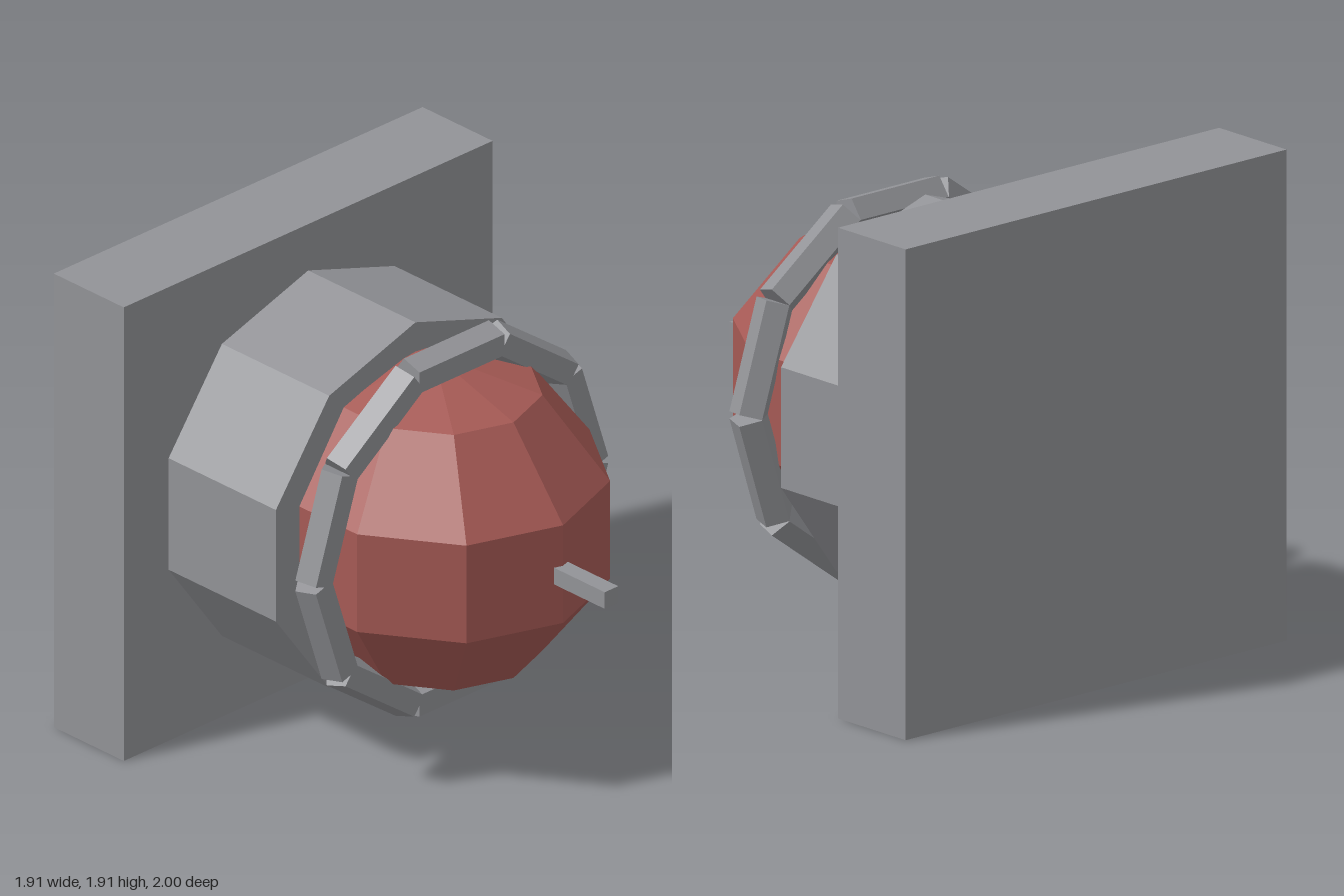
import * as THREE from 'three';

export function createModel() {
  const model = new THREE.Group();
  const grey = new THREE.MeshStandardMaterial({ color: 0x929397, flatShading: true });
  grey.name = 'metalGrey';
  const red = new THREE.MeshStandardMaterial({ color: 0xa65a55, flatShading: true });
  red.name = 'lensRed';

  const CY = 0.955; // height of the lamp axis
  const add = (parent, name, geometry, material, x, y, z) => {
    const mesh = new THREE.Mesh(geometry, material);
    mesh.name = name;
    mesh.position.set(x, y, z);
    parent.add(mesh);
    return mesh;
  };

  // Square wall plate
  add(model, 'backPlate', new THREE.BoxGeometry(1.91, 1.91, 0.375), grey, 0, CY, -0.8125);

  // Ten-sided housing drum, a corner at the top
  const drum = new THREE.CylinderGeometry(0.76, 0.76, 0.575, 10).rotateX(Math.PI / 2);
  add(model, 'housing', drum, grey, 0, CY, -0.3375);

  // Faceted ball, a corner facing forward, stretched slightly in depth
  const ball = new THREE.SphereGeometry(0.665, 10, 5).rotateY(Math.PI / 10).scale(1, 1, 1.1);
  add(model, 'ball', ball, red, 0, CY, 0.045);

  // Ring of ten five-sided bars with open outer joints
  const ring = new THREE.Group();
  ring.name = 'ring';
  ring.position.set(0, CY, 0.139);
  const bar = new THREE.CylinderGeometry(0.075, 0.075, 0.44, 5).rotateZ(Math.PI / 2).rotateY(Math.PI);
  for (let i = 0; i < 10; i++) {
    const a = (i * Math.PI) / 5;
    add(ring, 'ringBar', bar, grey, -Math.sin(a) * 0.68, Math.cos(a) * 0.68, 0).rotation.z = a;
  }
  model.add(ring);

  // Short square pin at the front
  add(model, 'frontPin', new THREE.BoxGeometry(0.07, 0.07, 0.3), grey, 0, CY, 0.85);

  return model;
}
